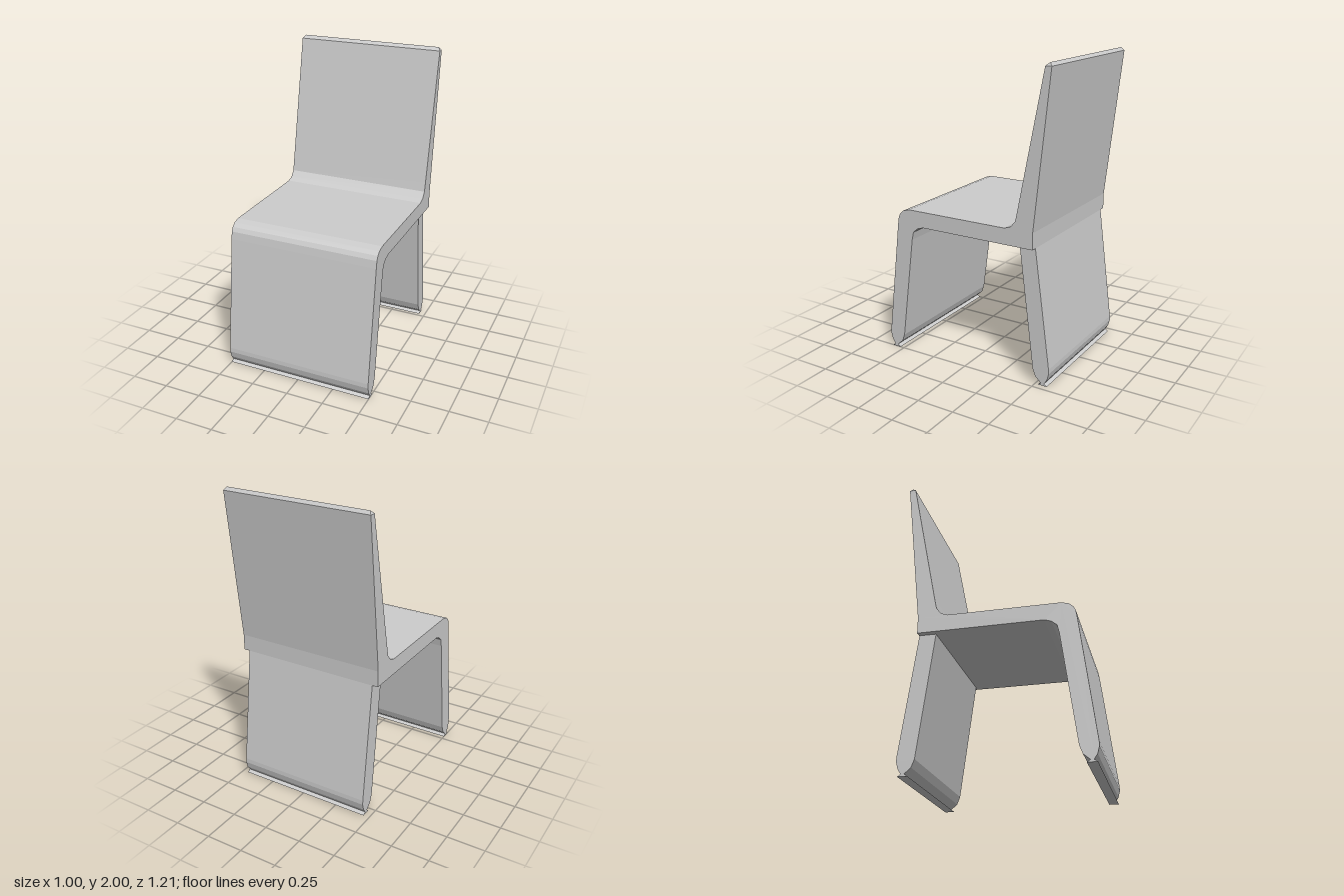
import * as THREE from 'three';
import { ConvexGeometry } from 'three/addons/geometries/ConvexGeometry.js';

const material = new THREE.MeshStandardMaterial({ color: 0xcccccc, flatShading: true });

// Sweeps a side outline of [z, y] points across the width, centred on x = 0.
function slab(name, points, width) {
  const shape = new THREE.Shape(points.map(([z, y]) => new THREE.Vector2(z, y)));
  const geometry = new THREE.ExtrudeGeometry(shape, { depth: width, bevelEnabled: false });
  geometry.rotateY(-Math.PI / 2).translate(width / 2, 0, 0);
  const mesh = new THREE.Mesh(geometry, material);
  mesh.name = name;
  return mesh;
}

// Rounded leg end pinched to a thin neck over a flared glide strip, inner side first.
// side is +1 for the front leg and -1 for the rear leg.
const foot = (side, shift = 0) => [
  [0.491, 0.1], [0.51, 0.05], [0.55, 0.015], [0.53, 0],
  [0.592, 0], [0.572, 0.015], [0.592, 0.045], [0.604, 0.09], [0.603, 0.12],
].map(([z, y]) => [side * (z - shift), y]);

export function createModel() {
  const chair = new THREE.Group();
  chair.name = 'chair';

  // Front leg, seat and backrest in one bent sheet
  chair.add(slab('seatShell', [
    ...foot(1),
    [0.508, 0.89], [0.5, 0.94], [0.485, 0.967], [0.46, 0.988], [0.415, 1], // front bend
    [-0.3, 1], [-0.344, 1.015], [-0.376, 1.055], [-0.39, 1.12],            // back bend
    [-0.563, 1.98], [-0.604, 1.98],                                       // backrest top
    [-0.495, 1], [-0.495, 0.895],
    [0.307, 0.895], [0.35, 0.882], [0.385, 0.853], [0.397, 0.8],          // inner bend
  ], 1));

  // Hipped ridge closing the backrest top
  const ridge = [];
  for (const s of [-1, 1]) {
    ridge.push(
      new THREE.Vector3(s * 0.5, 1.98, -0.563),
      new THREE.Vector3(s * 0.5, 1.98, -0.604),
      new THREE.Vector3(s * 0.485, 2, -0.587),
    );
  }
  const cap = new THREE.Mesh(new ConvexGeometry(ridge), material);
  cap.name = 'backrestTopEdge';
  chair.add(cap);

  // Rear leg, slightly narrower than the seat
  chair.add(slab('rearLeg', [[-0.385, 0.896], ...foot(-1, 0.008), [-0.493, 0.896]], 0.92));

  return chair;
}
